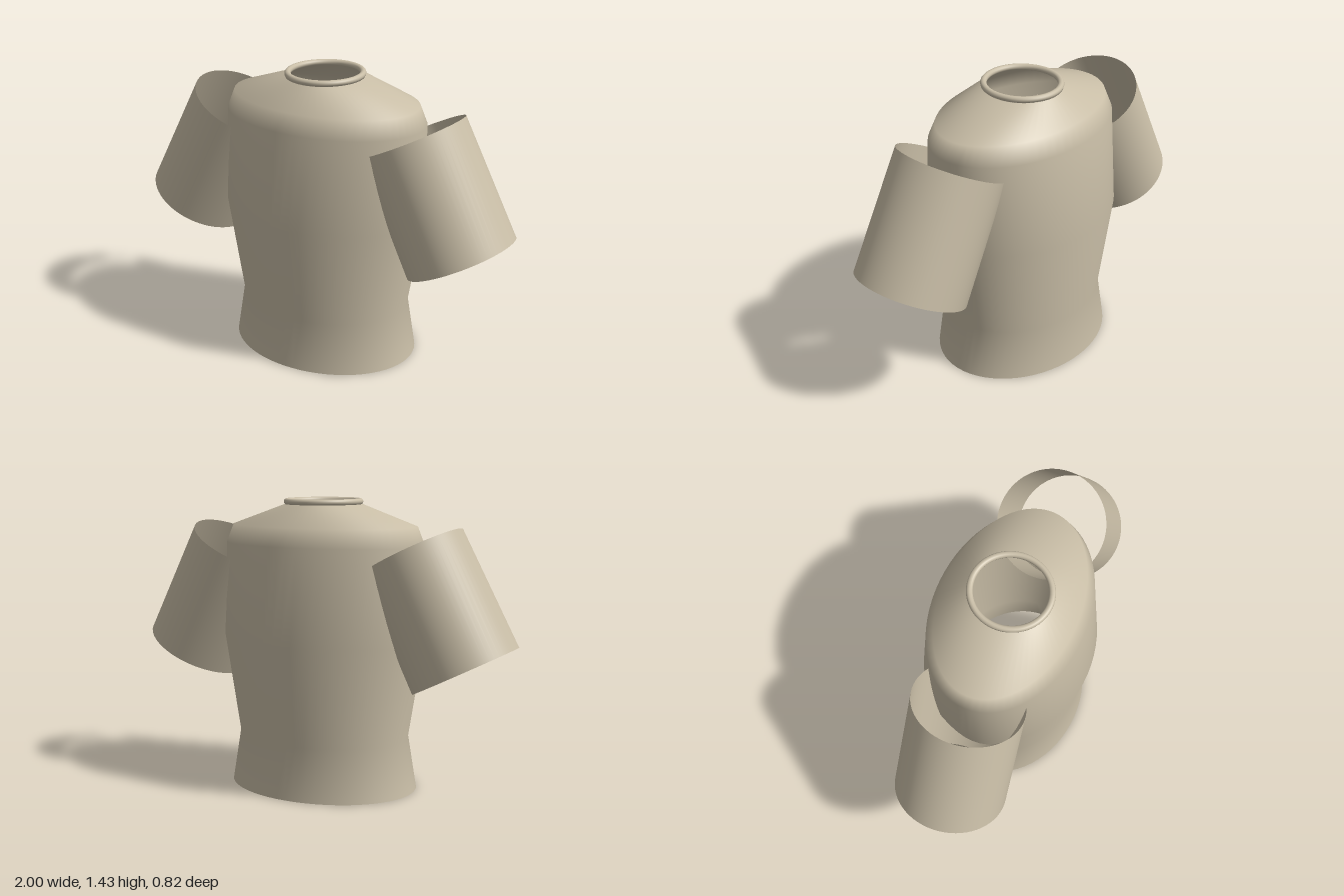
import * as THREE from 'three';

const cloth = new THREE.MeshStandardMaterial({ color: 0xc8bda6, side: THREE.DoubleSide });
cloth.name = 'beige cloth';

// Open tube through elliptical rings given as [y, half width, half depth]
function loftEllipses(rings, segments) {
  const positions = [];
  const indices = [];
  rings.forEach(([y, rx, rz], r) => {
    for (let s = 0; s < segments; s++) {
      const a = (s / segments) * Math.PI * 2;
      positions.push(rx * Math.sin(a), y, rz * Math.cos(a));
      if (r === 0) continue;
      const next = (s + 1) % segments;
      const a0 = (r - 1) * segments + s, b0 = (r - 1) * segments + next;
      const a1 = r * segments + s, b1 = r * segments + next;
      indices.push(a0, b0, b1, a0, b1, a1);
    }
  });
  const geometry = new THREE.BufferGeometry();
  geometry.setAttribute('position', new THREE.Float32BufferAttribute(positions, 3));
  geometry.setIndex(indices);
  geometry.computeVertexNormals();
  return geometry;
}

// Open, slightly flared sleeve between two points
function makeSleeve(side) {
  const top = new THREE.Vector3(side * 0.478, 1.183, 0.001);
  const cuff = new THREE.Vector3(side * 0.757, 0.637, 0.01);
  const axis = top.clone().sub(cuff);
  const sleeve = new THREE.Mesh(
    new THREE.CylinderGeometry(0.262, 0.272, axis.length(), 64, 1, true), cloth);
  sleeve.position.addVectors(top, cuff).multiplyScalar(0.5);
  sleeve.quaternion.setFromUnitVectors(new THREE.Vector3(0, 1, 0), axis.normalize());
  sleeve.name = side > 0 ? 'leftSleeve' : 'rightSleeve';
  return sleeve;
}

export function createModel() {
  const shirt = new THREE.Group();
  shirt.name = 'shirt';

  // Body: hem, waist, chest, armpit line, shoulder, neck opening
  const body = new THREE.Mesh(loftEllipses([
    [0, 0.485, 0.385],
    [0.26, 0.44, 0.357],
    [0.75, 0.52, 0.41],
    [1.21, 0.52, 0.357],
    [1.298, 0.487, 0.316],
    [1.4, 0.188, 0.196],
  ], 64), cloth);
  body.name = 'body';
  shirt.add(body);

  // Rolled collar ring
  const collar = new THREE.Mesh(new THREE.TorusGeometry(0.178, 0.015, 12, 64), cloth);
  collar.rotation.x = Math.PI / 2;
  collar.scale.y = 1.035;
  collar.position.y = 1.413;
  collar.name = 'collar';
  shirt.add(collar);

  for (const side of [-1, 1]) shirt.add(makeSleeve(side));
  return shirt;
}
